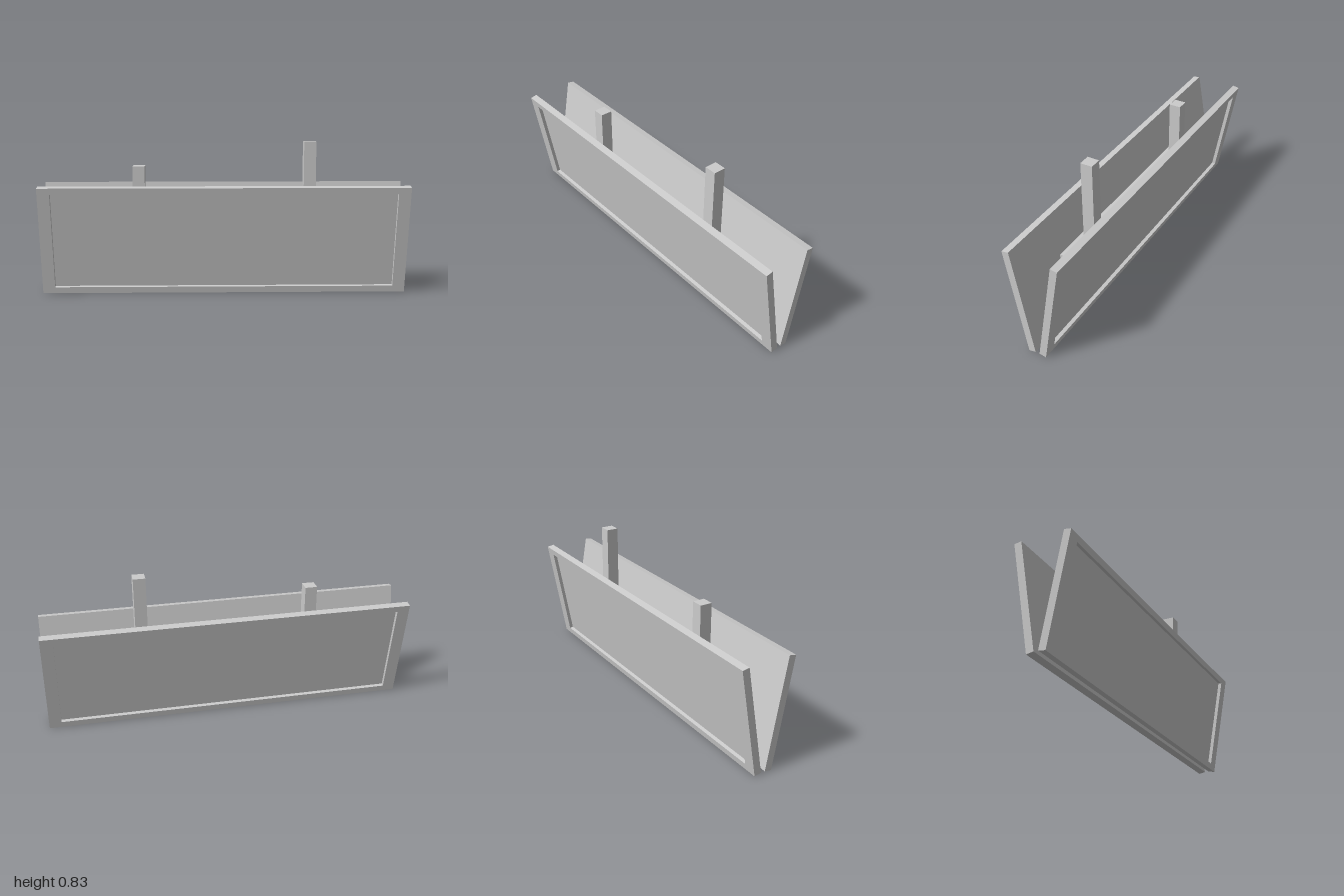
import * as THREE from 'three';

const material = new THREE.MeshStandardMaterial({ color: 0xcccccc, flatShading: true });

function addMesh(parent, name, geometry, x = 0, y = 0, z = 0) {
  const mesh = new THREE.Mesh(geometry, material);
  mesh.name = name;
  mesh.position.set(x, y, z);
  parent.add(mesh);
  return mesh;
}

function rectangle(path, w, h) {
  path.moveTo(-w / 2, -h / 2);
  path.lineTo(w / 2, -h / 2);
  path.lineTo(w / 2, h / 2);
  path.lineTo(-w / 2, h / 2);
  path.closePath();
  return path;
}

// Flat board with a raised border on its outer (+z) face
function createPanel(name) {
  const width = 2, height = 0.602, thickness = 0.039, recess = 0.02;
  const panel = new THREE.Group();
  panel.name = name;

  const board = thickness - recess;
  addMesh(panel, 'board', new THREE.BoxGeometry(width, height, board), 0, 0, -thickness / 2 + board / 2);

  const border = rectangle(new THREE.Shape(), width, height);
  border.holes.push(rectangle(new THREE.Path(), width - 0.134, height - 0.07));
  const frame = new THREE.ExtrudeGeometry(border, { depth: recess, bevelEnabled: false });
  addMesh(panel, 'border', frame, 0, 0, thickness / 2 - recess);
  return panel;
}

export function createModel() {
  const model = new THREE.Group();
  model.name = 'doubleSidedSign';

  // Two panels leaning outward at the top, back to back
  for (const [name, turn] of [['frontPanel', 0], ['backPanel', Math.PI]]) {
    const side = new THREE.Group();
    side.name = name + 'Side';
    const panel = createPanel(name);
    panel.position.set(0, 0.3, 0.083);
    panel.rotation.x = THREE.MathUtils.degToRad(10);
    side.add(panel);
    side.rotation.y = turn;
    model.add(side);
  }

  // Beam joining the panels
  addMesh(model, 'crossBeam', new THREE.BoxGeometry(1.332, 0.1, 0.136), 0, 0.317, 0);

  // Posts of unequal height standing on the beam
  for (const [name, x, top] of [['rightPost', -0.467, 0.7], ['leftPost', 0.467, 0.833]]) {
    const bottom = 0.367;
    addMesh(model, name, new THREE.BoxGeometry(0.066, top - bottom, 0.066), x, (top + bottom) / 2, 0);
  }
  return model;
}
